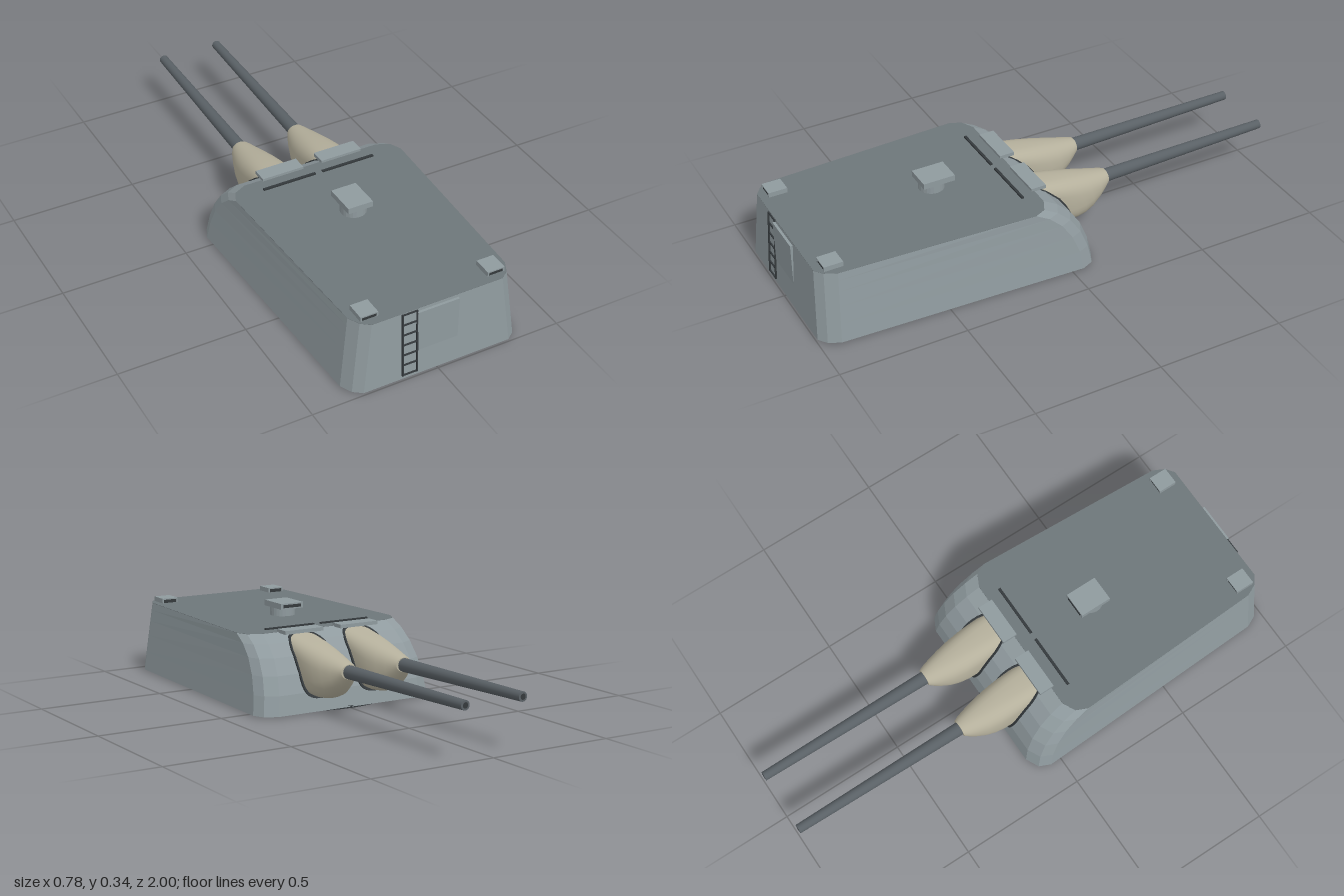
import * as THREE from 'three';

const paint = (color, extra = {}) => new THREE.MeshStandardMaterial({ color, ...extra });
const hullGrey = paint(0x8f9a9e, { flatShading: true });
const roofGrey = paint(0x6d7679, { flatShading: true });
const dark = paint(0x34393c);
const steel = paint(0x596065);
const canvas = paint(0xb5b09c, { side: THREE.DoubleSide });

// Front slope of the gun house as [height, z], from base to roof edge
const SLOPE = [[0.005, -0.115], [0.08, -0.102], [0.15, -0.075], [0.21, -0.035], [0.255, 0.015], [0.285, 0.07]];
const lerp = THREE.MathUtils.lerp;

function slopeZ(y) {
  for (let i = 1; i < SLOPE.length; i++) {
    const [y0, z0] = SLOPE[i - 1], [y1, z1] = SLOPE[i];
    if (y <= y1) return lerp(z0, z1, (y - y0) / (y1 - y0));
  }
  return SLOPE[SLOPE.length - 1][1];
}
const rearZ = (y) => lerp(0.995, 0.977, y / 0.285);

// Skin through equal-length rings of [x, y, z], with end caps
function loft(rings, capStart = true, capEnd = true) {
  const n = rings[0].length, pos = rings.flat(2), idx = [];
  for (let i = 0; i < rings.length - 1; i++) {
    for (let j = 0; j < n; j++) {
      const a = i * n + j, b = i * n + (j + 1) % n;
      idx.push(a, b, b + n, a, b + n, a + n);
    }
  }
  const cap = (ring, flip) => {
    const base = pos.length / 3;
    const mid = [0, 1, 2].map((k) => ring.reduce((s, p) => s + p[k], 0) / n);
    pos.push(...ring.flat(), ...mid);
    for (let j = 0; j < n; j++) {
      const a = base + j, b = base + (j + 1) % n;
      idx.push(base + n, flip ? b : a, flip ? a : b);
    }
  };
  if (capStart) cap(rings[0], true);
  if (capEnd) cap(rings[rings.length - 1], false);
  const geo = new THREE.BufferGeometry();
  geo.setAttribute('position', new THREE.Float32BufferAttribute(pos, 3));
  geo.setIndex(idx);
  geo.computeVertexNormals();
  return geo;
}

// Gun house outline at a given height: tapered plan with faceted corners
function outline(y, lift = 0) {
  const t = y / 0.285, f = lerp(0.39, 0.352, t), r = lerp(0.352, 0.317, t);
  const zf = slopeZ(y), zr = rearZ(y);
  const half = [
    [r - 0.055, zr], [r - 0.022, zr - 0.025], [r, zr - 0.07],
    [f, zf + 0.07], [f - 0.02, zf + 0.025], [f - 0.07, zf],
  ];
  const other = half.map(([x, z]) => [-x, z]).reverse();
  return [...half, ...other].map(([x, z]) => [x, y + lift, z]);
}

// Rounded-square section around a gun, from the front slope (s = 0) to the gun sleeve (s = 1)
function bagRing(cx, s, top, bottom, w, out = 0) {
  const power = lerp(0.6, 1, s), ring = [];
  const shape = (v) => Math.sign(v) * Math.abs(v) ** power;
  for (let j = 0; j < 32; j++) {
    const a = (j / 32) * Math.PI * 2;
    const y = (top + bottom) / 2 + shape(Math.cos(a)) * (top - bottom) / 2;
    ring.push([cx + w * shape(Math.sin(a)), y, lerp(slopeZ(y), -0.288, s) - out]);
  }
  return ring;
}

export function createModel() {
  const model = new THREE.Group();
  const add = (name, geo, mat, x = 0, y = 0, z = 0, parent = model) => {
    const mesh = new THREE.Mesh(geo, mat);
    mesh.name = name;
    mesh.position.set(x, y, z);
    parent.add(mesh);
    return mesh;
  };
  const box = (name, mat, w, h, d, x, y, z, parent) =>
    add(name, new THREE.BoxGeometry(w, h, d), mat, x, y, z, parent);

  // Gun house, roof plate and turning ring
  add('gunHouse', loft(SLOPE.map(([y]) => outline(y)), true, false), hullGrey);
  add('roof', loft([outline(0.285), outline(0.285, 0.001)]), roofGrey);
  add('turningRing', new THREE.CylinderGeometry(0.365, 0.365, 0.01, 48), dark, 0, 0.005, 0.25);

  // Guns, each with canvas cover, frame, hood and roof strip
  for (const side of [-1, 1]) {
    const gun = new THREE.Group(), cx = side * 0.122;
    gun.name = side > 0 ? 'leftGun' : 'rightGun';
    model.add(gun);

    add('coverFrame', loft([
      bagRing(cx, 0, 0.282, 0.055, 0.087, -0.005),
      bagRing(cx, 0, 0.282, 0.055, 0.087, 0.009),
    ]), dark, 0, 0, 0, gun);
    const sections = [
      [0, 0.278, 0.065, 0.079], [0.2, 0.265, 0.062, 0.079], [0.4, 0.252, 0.066, 0.075],
      [0.6, 0.238, 0.08, 0.067], [0.8, 0.225, 0.109, 0.054], [0.92, 0.218, 0.136, 0.044], [1, 0.212, 0.157, 0.034],
    ];
    add('canvasCover', loft(sections.map((s) => bagRing(cx, ...s)), false, true), canvas, 0, 0, 0, gun);

    // Barrel, slightly raised, with a dark bore
    const root = new THREE.Vector3(cx, 0.182, -0.2), tip = new THREE.Vector3(cx, 0.198, -1);
    const dir = tip.clone().sub(root);
    const barrel = add('barrel', new THREE.CylinderGeometry(0.018, 0.027, dir.length(), 20), steel, 0, 0, 0, gun);
    barrel.position.copy(root).lerp(tip, 0.5);
    barrel.quaternion.setFromUnitVectors(new THREE.Vector3(0, 1, 0), dir.normalize());
    const bore = add('bore', new THREE.CircleGeometry(0.011, 16), dark, cx, 0.198, -1.001, gun);
    bore.rotation.y = Math.PI;

    box('hood', hullGrey, 0.17, 0.014, 0.06, side * 0.124, 0.289, 0.05, gun);
    box('roofStrip', dark, 0.218, 0.008, 0.01, side * 0.124, 0.288, 0.13, gun);

    // Vent at the rear corner of the roof
    const vent = new THREE.Group();
    vent.name = side > 0 ? 'leftVent' : 'rightVent';
    vent.position.set(side * 0.254, 0.285, 0.91);
    model.add(vent);
    box('ventLid', hullGrey, 0.069, 0.005, 0.074, 0, 0.0175, 0, vent);
    box('ventOpening', dark, 0.058, 0.016, 0.068, 0, 0.008, 0, vent);
    for (const e of [-1, 1]) box('ventCheek', hullGrey, 0.006, 0.016, 0.074, e * 0.0315, 0.008, 0, vent);
  }

  // Sighting hood on the roof
  const sight = new THREE.Group();
  sight.name = 'sightingHood';
  sight.position.set(0, 0.285, 0.385);
  model.add(sight);
  add('sightBase', new THREE.CylinderGeometry(0.05, 0.05, 0.038, 24), hullGrey, 0, 0.019, 0.005, sight);
  box('sightHead', hullGrey, 0.102, 0.023, 0.128, 0, 0.0455, -0.005, sight);
  box('sightSlit', dark, 0.08, 0.012, 0.004, 0, 0.0455, -0.069, sight);

  // Rear door
  box('door', hullGrey, 0.165, 0.168, 0.01, -0.002, 0.191, 0.984);

  // Ladder leaning on the rear wall
  const ladder = new THREE.Group();
  ladder.name = 'ladder';
  ladder.position.set(-0.114, 0.151, rearZ(0.151) + 0.002);
  ladder.rotation.x = -Math.atan(0.018 / 0.285);
  model.add(ladder);
  for (const side of [-1, 1]) box('rail', dark, 0.005, 0.264, 0.008, side * 0.029, 0, 0, ladder);
  for (let i = 0; i < 7; i++) box('rung', dark, 0.058, 0.005, 0.006, 0, -0.129 + i * 0.043, 0, ladder);

  return model;
}
